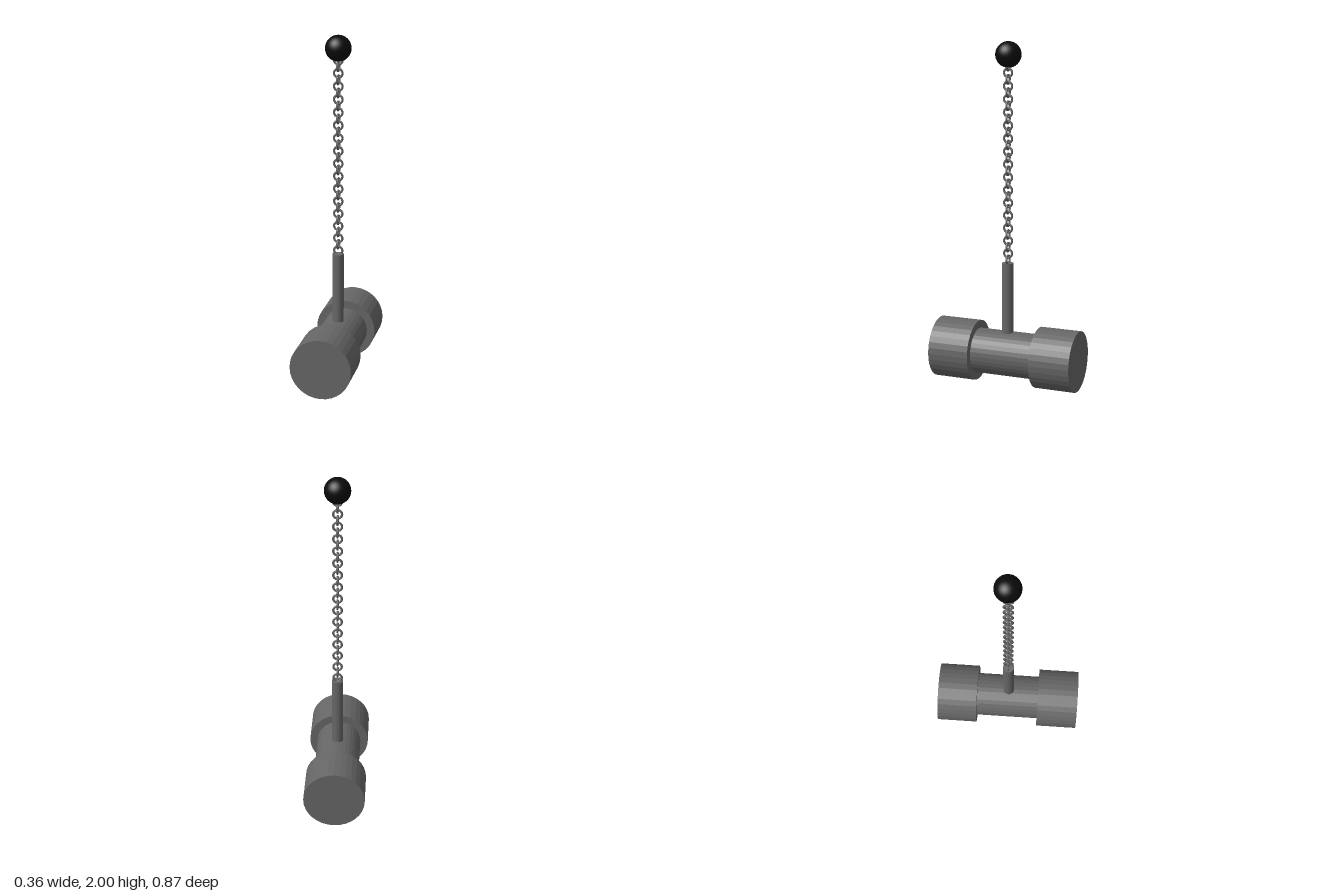
import * as THREE from 'three';

export function createModel() {
  const model = new THREE.Group();
  const metal = new THREE.MeshStandardMaterial({ color: 0x666666, flatShading: true });
  const linkMetal = new THREE.MeshStandardMaterial({ color: 0x666666 });
  const black = new THREE.MeshStandardMaterial({ color: 0x0a0a0a });

  const add = (name, geometry, material, x, y, z, parent = model) => {
    const mesh = new THREE.Mesh(geometry, material);
    mesh.name = name;
    mesh.position.set(x, y, z);
    parent.add(mesh);
    return mesh;
  };

  // Cylinder lying along z between two depths
  const axisY = 0.178;
  const lying = (name, radius, z0, z1) => {
    const geometry = new THREE.CylinderGeometry(radius, radius, z1 - z0, 32).rotateX(Math.PI / 2);
    return add(name, geometry, metal, 0, axisY, (z0 + z1) / 2);
  };

  // Hammer-shaped weight: narrow core with a wide head at each end
  lying('core', 0.132, -0.2, 0.2);
  lying('frontHead', 0.178, 0.187, 0.434);
  lying('backHead', 0.178, -0.434, -0.192);

  // Upright rod
  const rodBottom = 0.17, rodTop = 0.725;
  add('rod', new THREE.CylinderGeometry(0.033, 0.033, rodTop - rodBottom, 32), metal,
    0, (rodBottom + rodTop) / 2, 0.002);

  // Chain of round links, every other one turned a quarter
  const chain = new THREE.Group();
  chain.name = 'chain';
  model.add(chain);
  const linkGeometry = new THREE.TorusGeometry(0.0245, 0.0065, 10, 32);
  const linkCount = 31, pitch = 0.0372;
  for (let i = 0; i < linkCount; i++) {
    const link = add('chainLink', linkGeometry, linkMetal, 0, 0.745 + i * pitch, 0, chain);
    link.rotation.y = (i % 2) * Math.PI / 2;
  }

  // Ball knob on top
  add('ball', new THREE.SphereGeometry(0.074, 32, 24), black, 0, 1.926, -0.002);

  return model;
}
